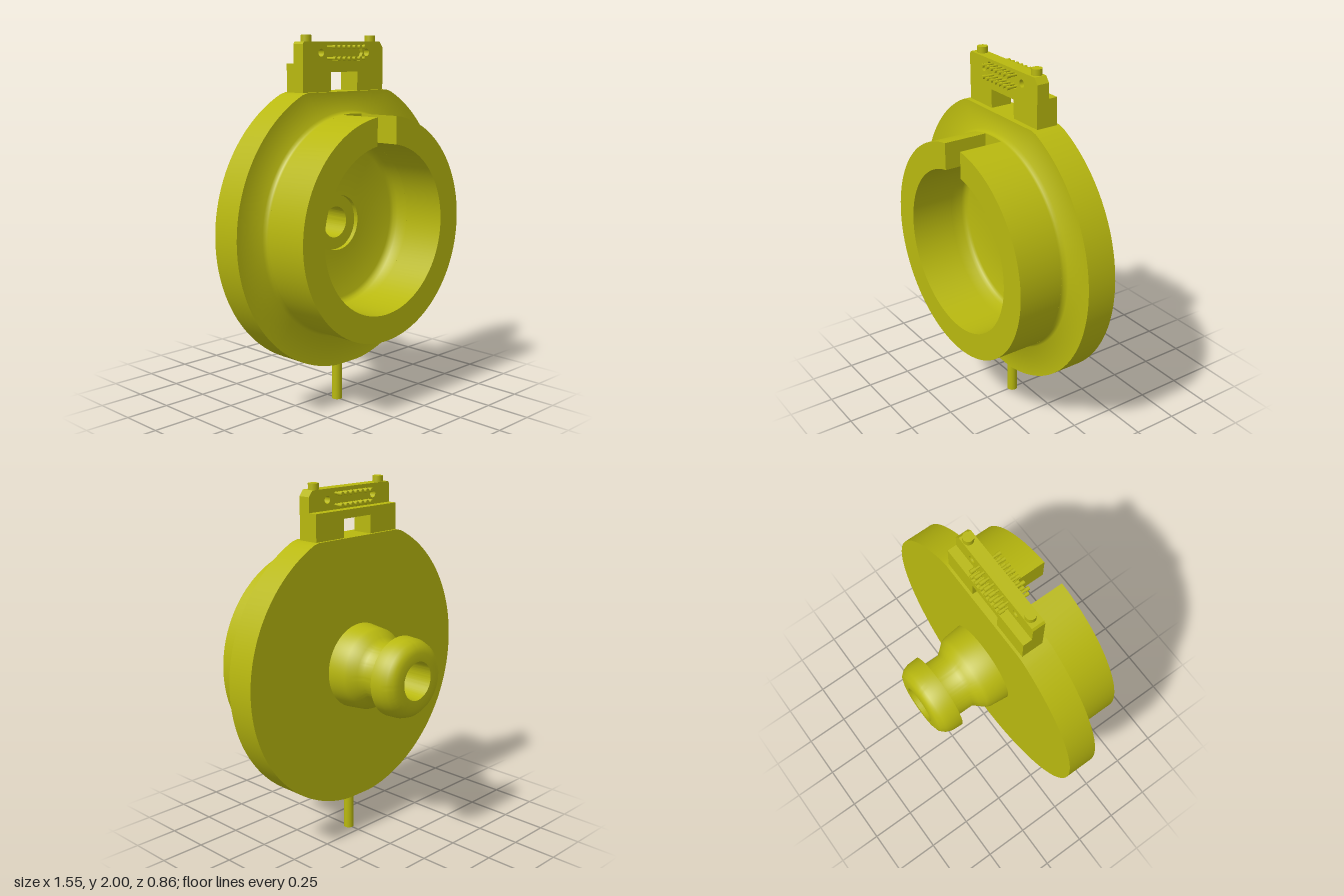
import * as THREE from 'three';
import { toCreasedNormals } from 'three/addons/utils/BufferGeometryUtils.js';

const CENTER_Y = 1.0;

export function createModel() {
  const model = new THREE.Group();
  const olive = new THREE.MeshStandardMaterial({ color: 0xb8b80f });
  olive.name = 'olive yellow';

  const add = (name, geometry, x = 0, y = 0, z = 0) => {
    const mesh = new THREE.Mesh(geometry, olive);
    mesh.name = name;
    mesh.position.set(x, y, z);
    model.add(mesh);
    return mesh;
  };
  const extrude = (shape, depth) =>
    new THREE.ExtrudeGeometry(shape, { depth, bevelEnabled: false, curveSegments: 64 });
  const polygon = (points) => new THREE.Shape(points.map(([x, y]) => new THREE.Vector2(x, y)));
  const circle = (x, y, r) => new THREE.Path().absarc(x, y, r, 0, Math.PI * 2, true);

  // Turned body: knob, disc and cup floor in one closed profile of [radius, z]
  const profile = [
    [0.105, -0.43], [0.15, -0.43], [0.18, -0.42], [0.203, -0.395], [0.215, -0.36], [0.218, -0.3],
    [0.165, -0.3], [0.165, -0.195], [0.185, -0.17], [0.215, -0.135], [0.224, -0.115], [0.235, -0.01],
    [0.775, -0.01], [0.775, 0.155],
    [0.61, 0.155], [0.595, 0.17], [0.595, 0.185],
    [0.45, 0.185], [0.45, 0.115], [0.441, 0.094], [0.42, 0.085],
    [0.15, 0.085], [0.15, 0.06], [0.085, 0.06], [0.105, -0.43],
  ];
  const body = new THREE.LatheGeometry(profile.map(([r, z]) => new THREE.Vector2(r, z)), 128);
  body.rotateX(Math.PI / 2);
  // Cut the flats at the top and bottom of the disc
  const pos = body.attributes.position;
  for (let i = 0; i < pos.count; i++) {
    pos.setY(i, THREE.MathUtils.clamp(pos.getY(i), -0.77, 0.71));
  }
  add('discAndKnob', toCreasedNormals(body, 0.9), 0, CENTER_Y, 0);

  // Cup wall with a straight slot at the top
  const outer = 0.595, inner = 0.45, slot = 0.072, up = Math.PI / 2;
  const a = Math.asin(slot / outer), b = Math.asin(slot / inner);
  const wall = new THREE.Shape();
  wall.absarc(0, 0, outer, up + a, up - a + Math.PI * 2, false);
  wall.absarc(0, 0, inner, up - b + Math.PI * 2, up + b, true);
  wall.closePath();
  add('cupWall', toCreasedNormals(extrude(wall, 0.245), 0.6), 0, CENTER_Y, 0.185);

  // Bracket: two legs joined by a bar
  const bracket = polygon([
    [-0.3, 1.69], [-0.1, 1.69], [-0.1, 1.81], [0.1, 1.81], [0.1, 1.69], [0.3, 1.69], [0.3, 1.855], [-0.3, 1.855],
  ]);
  add('bracket', extrude(bracket, 0.12), 0, 0, 0.005);

  // Connector plate: a drilled back layer and a front layer with a recess
  const plateShape = () => polygon([
    [-0.3, 1.855], [0.3, 1.855], [0.3, 1.935], [0.275, 1.967], [-0.29, 1.967], [-0.3, 1.955],
  ]);
  const screwHoles = () => [-0.17, 0.17].map((x) => circle(x, 1.91, 0.02));
  const backPlate = plateShape();
  backPlate.holes.push(...screwHoles());
  add('connectorBackPlate', extrude(backPlate, 0.05), 0, 0, 0.055);
  const frontPlate = plateShape();
  frontPlate.holes.push(...screwHoles(), new THREE.Path([
    [-0.12, 1.868], [-0.142, 1.91], [-0.125, 1.952], [0.125, 1.952], [0.142, 1.91], [0.12, 1.868],
  ].map(([x, y]) => new THREE.Vector2(x, y))));
  add('connectorFrontPlate', extrude(frontPlate, 0.02), 0, 0, 0.105);

  // Two rows of contact pins with thicker ends
  const pin = new THREE.CylinderGeometry(0.007, 0.007, 0.16, 12).rotateX(Math.PI / 2);
  const backEnd = new THREE.CylinderGeometry(0.011, 0.011, 0.03, 12).rotateX(Math.PI / 2);
  const frontEnd = new THREE.CylinderGeometry(0.01, 0.01, 0.02, 12).rotateX(Math.PI / 2);
  for (const y of [1.94, 1.88]) {
    for (let i = -3; i <= 3; i++) {
      const x = i * 0.037;
      add('contactPin', pin, x, y, 0.09);
      add('contactPinBackEnd', backEnd, x, y, 0.017);
      add('contactPinFrontEnd', frontEnd, x, y, 0.165);
    }
  }

  // Locating posts on top and the rod below
  const post = new THREE.CylinderGeometry(0.028, 0.028, 0.05, 32);
  for (const x of [-0.24, 0.24]) add('topPost', post, x, 1.975, 0.085);
  add('bottomRod', new THREE.CylinderGeometry(0.028, 0.028, 0.25, 32), 0, 0.125, 0.075);

  return model;
}
